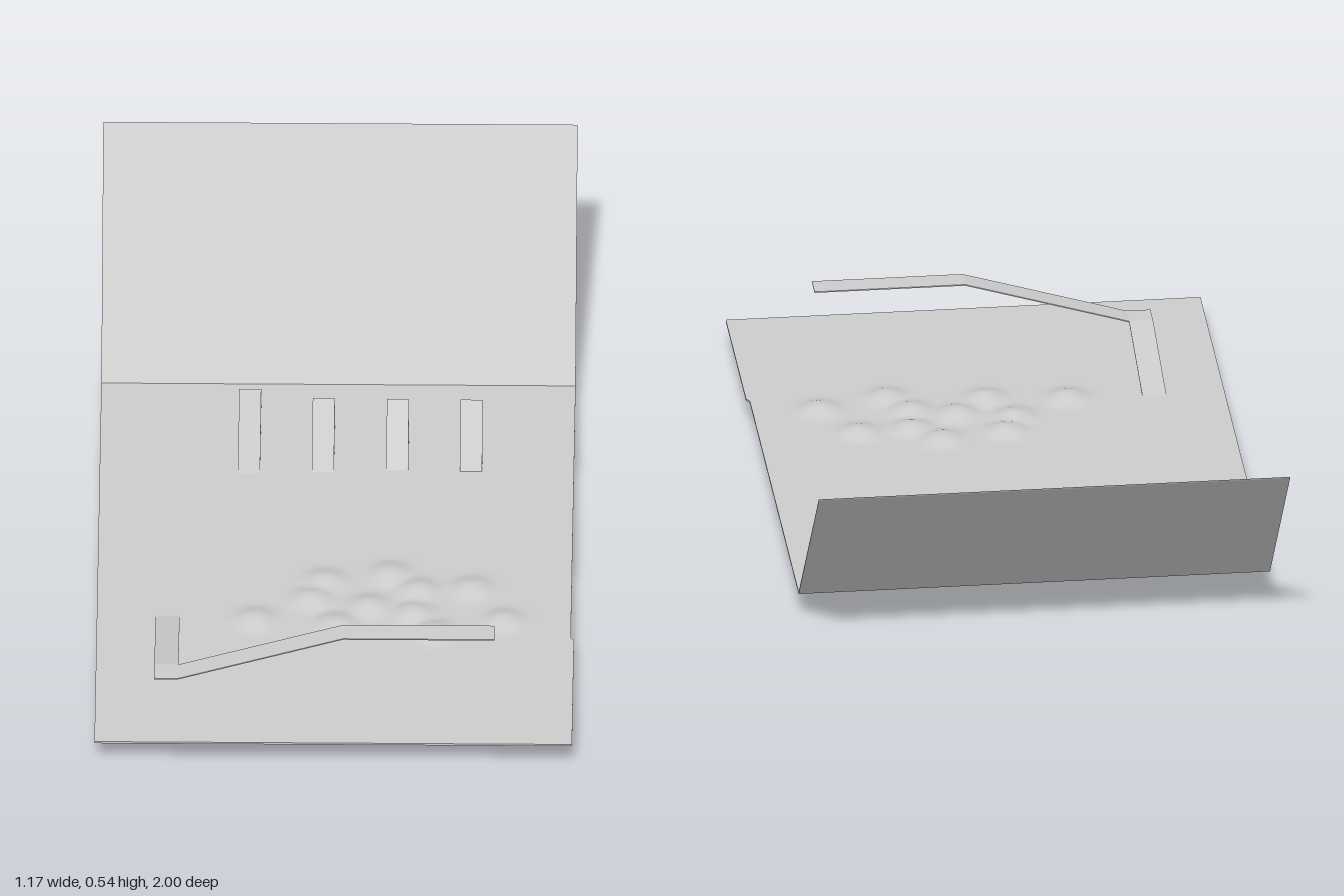
import * as THREE from 'three';

const material = new THREE.MeshStandardMaterial({ color: 0xcccccc, side: THREE.DoubleSide });

function extrude(points, depth) {
  const shape = new THREE.Shape(points.map(([a, b]) => new THREE.Vector2(a, b)));
  return new THREE.ExtrudeGeometry(shape, { depth, bevelEnabled: false });
}

// Side profile given as [z, y], spanning x0..x1
function sideProfile(points, x0, x1) {
  return extrude(points, x1 - x0).rotateY(-Math.PI / 2).translate(x1, 0, 0);
}

// Gives an open [a, y] line a small thickness
function ribbon(line, t) {
  return [...line, ...line.map(([a, y]) => [a, y - t]).reverse()];
}

// Low rounded mounds: [x, z]
const mounds = [
  [-0.2, 0.47], [-0.03, 0.3], [-0.06, 0.38], [0.0, 0.49], [0.08, 0.41], [0.13, 0.27],
  [0.2, 0.34], [0.19, 0.44], [0.24, 0.52], [0.33, 0.33], [0.41, 0.47],
];

function moundHeight(x, z) {
  let h = 0;
  for (const [mx, mz] of mounds) {
    const d = Math.hypot(x - mx, z - mz) / 0.075;
    if (d < 1) h = Math.max(h, 0.018 * (0.5 + 0.5 * Math.cos(Math.PI * d)));
  }
  return h;
}

// Flat sheet whose top and underside both follow the mounds
function groundGeometry() {
  const x0 = -0.587, x1 = 0.575, z0 = -0.55, z1 = 1;
  const g = new THREE.BoxGeometry(x1 - x0, 0.005, z1 - z0, 90, 1, 124);
  g.translate((x0 + x1) / 2, 0.0675, (z0 + z1) / 2);
  const p = g.attributes.position;
  for (let i = 0; i < p.count; i++) {
    const x = p.getX(i), z = p.getZ(i);
    p.setY(i, p.getY(i) + moundHeight(x, z));
    if (z > 0.55 && x > x1 - 0.001) p.setX(i, 0.583);
  }
  g.computeVertexNormals();
  return g;
}

export function createModel() {
  const model = new THREE.Group();
  const add = (name, geometry) => {
    const mesh = new THREE.Mesh(geometry, material);
    mesh.name = name;
    model.add(mesh);
  };

  add('ground', groundGeometry());

  // Sloping bank behind the ground
  add('bank', sideProfile(
    [[-0.55, 0.07], [-0.55, 0.065], [-0.997, 0.532], [-1, 0.537]], -0.587, 0.575));

  // Wedges, steeper from left to right: [x, front z, bottom, back z, top]
  const wedges = [
    [-0.248, -0.14, 0.066, -0.455, 0.12],
    [-0.067, -0.105, 0.045, -0.378, 0.147],
    [0.115, -0.097, 0.021, -0.344, 0.169],
    [0.296, -0.097, 0, -0.313, 0.19],
  ];
  wedges.forEach(([x, zf, yb, zr, yt], i) => {
    add('wedge' + (i + 1), sideProfile([[zf, yb], [zr, yb], [zr, yt]], x, x + 0.054));
  });

  // Raised walkway: a ramp rising forward, then one rising sideways to a level end
  add('walkwayRamp', sideProfile(
    ribbon([[0.41, 0.061], [0.755, 0.132]], 0.003), -0.443, -0.384));
  add('walkwayDeck', extrude(
    ribbon([[-0.443, 0.132], [-0.384, 0.132], [0.02, 0.253], [0.391, 0.253]], 0.003), 0.06)
    .translate(0, 0, 0.755));

  return model;
}
